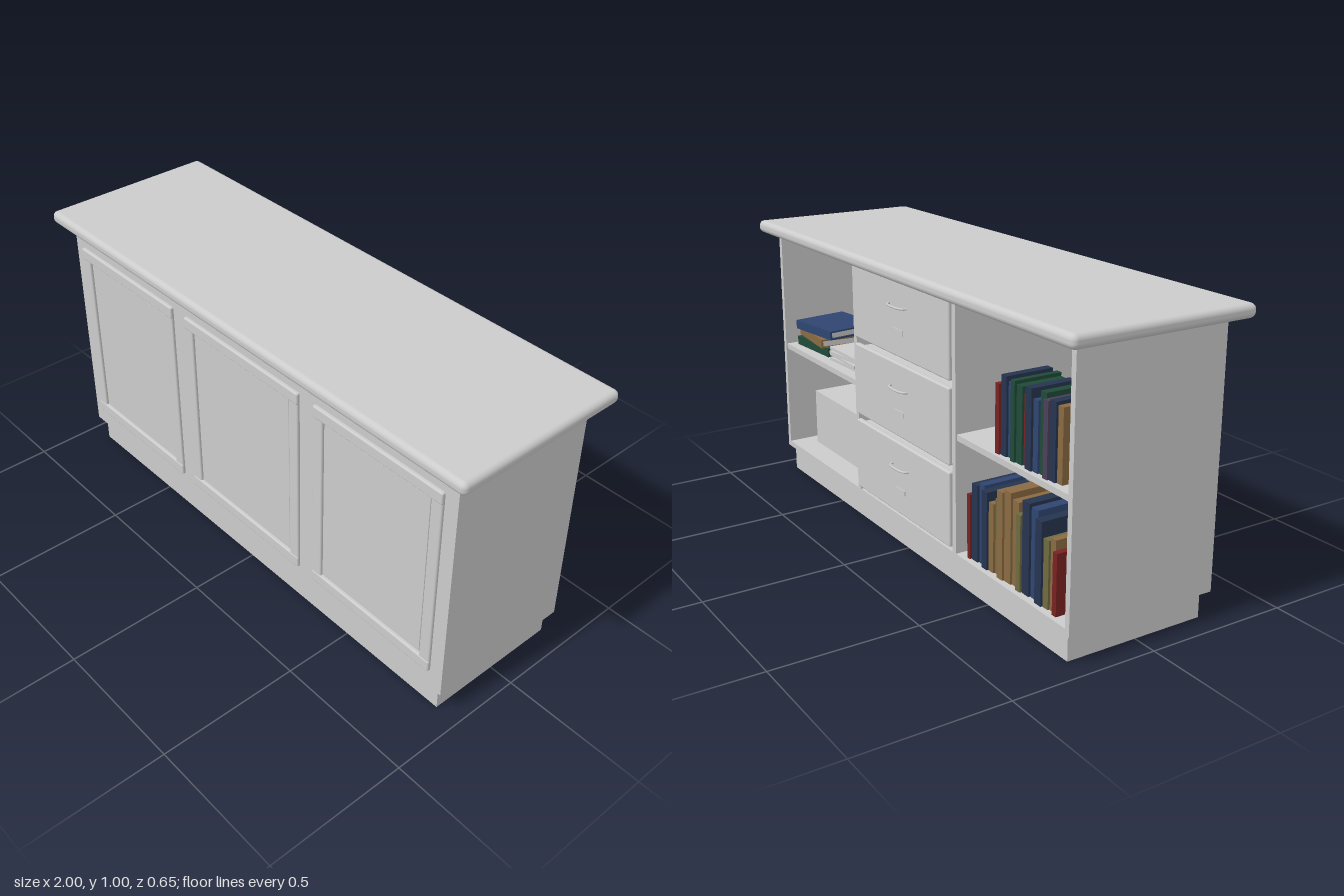
import * as THREE from 'three';
import { RoundedBoxGeometry } from 'three/addons/geometries/RoundedBoxGeometry.js';

const mats = {};
const material = (color = 0xcccccc) => (mats[color] ??= new THREE.MeshStandardMaterial({ color }));

// Box given by its min and max corners; a radius rounds its edges
function block(parent, name, [x0, y0, z0], [x1, y1, z1], { r = 0, color } = {}) {
  const size = [x1 - x0, y1 - y0, z1 - z0];
  const geometry = r ? new RoundedBoxGeometry(...size, 3, r) : new THREE.BoxGeometry(...size);
  const mesh = new THREE.Mesh(geometry, material(color));
  mesh.name = name;
  mesh.position.set((x0 + x1) / 2, (y0 + y1) / 2, (z0 + z1) / 2);
  parent.add(mesh);
  return mesh;
}

function group(parent, name) {
  const g = new THREE.Group();
  g.name = name;
  parent.add(g);
  return g;
}

const FLOOR = 0.115, SHELF = 0.52, UNDER = 0.957, BACK = -0.267;
const RED = 0x7a2222, NAVY = 0x25344f, BLUE = 0x2f4570, GREEN = 0x1f4a38;
const BROWN = 0x8a6a42, OLIVE = 0x6f6a40, PURPLE = 0x4a4058;
const PAGES = 0xcccccc;

// Raised moulding around one front panel
function panelFrame(parent, x0, x1) {
  const g = group(parent, 'frontPanel');
  const y0 = 0.165, y1 = 0.88, w = 0.043;
  for (const x of [x0, x1 - w]) block(g, 'stile', [x, y0, 0.26], [x + w, y1, 0.28], { r: 0.006 });
  for (const y of [y0, y1 - w]) block(g, 'rail', [x0, y, 0.26], [x1, y + w, 0.282], { r: 0.006 });
  block(g, 'inset', [x0 + w + 0.006, y0 + w + 0.006, 0.262], [x1 - w - 0.006, y1 - w - 0.006, 0.273], { r: 0.002 });
}

// Drawer with rounded front, bowed pull and label slot
function drawer(parent, y0, y1) {
  const g = group(parent, 'drawer');
  block(g, 'drawerBox', [-0.3, y0 + 0.01, BACK + 0.01], [0.3, y1 - 0.01, 0.22]);
  block(g, 'drawerFront', [-0.313, y0, -0.277], [0.313, y1, -0.257], { r: 0.006 });
  const y = y1 - 0.085;
  const curve = new THREE.CatmullRomCurve3(
    [[-0.055, -0.274], [-0.05, -0.287], [-0.03, -0.296], [0, -0.298], [0.03, -0.296], [0.05, -0.287], [0.055, -0.274]]
      .map(([x, z]) => new THREE.Vector3(x, y, z)));
  const handle = new THREE.Mesh(new THREE.TubeGeometry(curve, 24, 0.004, 8), material());
  handle.name = 'handle';
  g.add(handle);
  block(g, 'labelSlot', [-0.03, y - 0.095, -0.28], [0.03, y - 0.077, -0.274]);
}

// Row of upright books running toward -x: [thickness, height, colour]
function bookRow(parent, startX, y, list) {
  const row = group(parent, 'bookRow');
  let x = startX;
  list.forEach(([t, h, color], i) => {
    const z = -0.25 + (i % 3) * 0.006, depth = 0.155 + (i % 2) * 0.01;
    block(row, 'book', [x - t, y, z], [x - 0.002, y + h, z + depth], { color });
    x -= t;
  });
}

export function createModel() {
  const model = new THREE.Group();
  model.name = 'counter';

  // Worktop and plinth
  block(model, 'worktop', [-1, 0.955, -0.325], [1, 1, 0.325], { r: 0.019 });
  block(model, 'plinth', [-0.913, 0, -0.25], [0.913, 0.096, 0.25]);

  // Carcass, open at the back
  const carcass = group(model, 'carcass');
  block(carcass, 'floor', [-0.94, 0.094, BACK], [0.94, FLOOR, 0.27]);
  block(carcass, 'frontWall', [-0.94, 0.094, 0.25], [0.94, UNDER, 0.27]);
  for (const s of [-1, 1]) {
    const span = (a, b) => (s > 0 ? [a, b] : [-b, -a]);
    const [w0, w1] = span(0.92, 0.94), [d0, d1] = span(0.316, 0.336), [h0, h1] = span(0.336, 0.92);
    block(carcass, 'sideWall', [w0, 0.094, BACK], [w1, UNDER, 0.27]);
    block(carcass, 'divider', [d0, FLOOR, BACK], [d1, UNDER, 0.25]);
    block(carcass, 'shelf', [h0, SHELF - 0.02, BACK + 0.005], [h1, SHELF, 0.25]);
  }

  // Front panels and back drawers
  for (const [x0, x1] of [[-0.893, -0.357], [-0.288, 0.284], [0.353, 0.89]]) panelFrame(model, x0, x1);
  for (const [y0, y1] of [[0.13, 0.388], [0.41, 0.667], [0.69, 0.948]]) drawer(model, y0, y1);

  // Storage box
  block(model, 'storageBox', [0.4, FLOOR, -0.18], [0.855, 0.33, 0.01]);

  // Books lying flat, each with covers around its pages
  const stack = group(model, 'bookStack');
  [[GREEN, 0.06], [BROWN, -0.1], [BLUE, 0.13]].forEach(([color, turn], i) => {
    const book = group(stack, 'flatBook');
    book.position.set(0.78, SHELF + i * 0.033, -0.115);
    book.rotation.y = turn;
    block(book, 'pages', [-0.11, 0.005, -0.1], [0.11, 0.028, 0.1], { color: PAGES });
    for (const y of [0, 0.027]) block(book, 'cover', [-0.118, y, -0.107], [0.118, y + 0.006, 0.107], { color });
    block(book, 'spine', [-0.118, 0, -0.107], [0.118, 0.033, -0.1], { color });
  });

  // Loose stack of papers
  const papers = group(model, 'paperStack');
  [0.04, -0.05, 0.08, 0].forEach((turn, i) => {
    const pad = block(papers, 'paperPad', [0.42, SHELF + i * 0.013, -0.22], [0.63, SHELF + i * 0.013 + 0.011, 0.03]);
    pad.rotation.y = turn;
  });

  // Upright books
  bookRow(model, -0.53, SHELF, [
    [0.022, 0.22, RED], [0.03, 0.25, NAVY], [0.028, 0.235, BLUE], [0.022, 0.25, GREEN], [0.03, 0.24, GREEN],
    [0.022, 0.22, RED], [0.032, 0.25, NAVY], [0.026, 0.22, BLUE], [0.03, 0.25, GREEN], [0.024, 0.235, PURPLE],
    [0.03, 0.24, NAVY], [0.026, 0.23, BROWN],
  ]);
  bookRow(model, -0.375, FLOOR, [
    [0.018, 0.22, RED], [0.034, 0.26, NAVY], [0.03, 0.27, BLUE], [0.032, 0.26, NAVY], [0.028, 0.23, BROWN],
    [0.026, 0.25, OLIVE], [0.032, 0.29, BROWN], [0.036, 0.3, BROWN], [0.034, 0.28, BROWN], [0.024, 0.25, OLIVE],
    [0.038, 0.3, NAVY], [0.036, 0.29, BLUE], [0.034, 0.27, NAVY], [0.028, 0.22, OLIVE], [0.026, 0.23, BROWN],
    [0.022, 0.2, RED],
  ]);
  return model;
}
